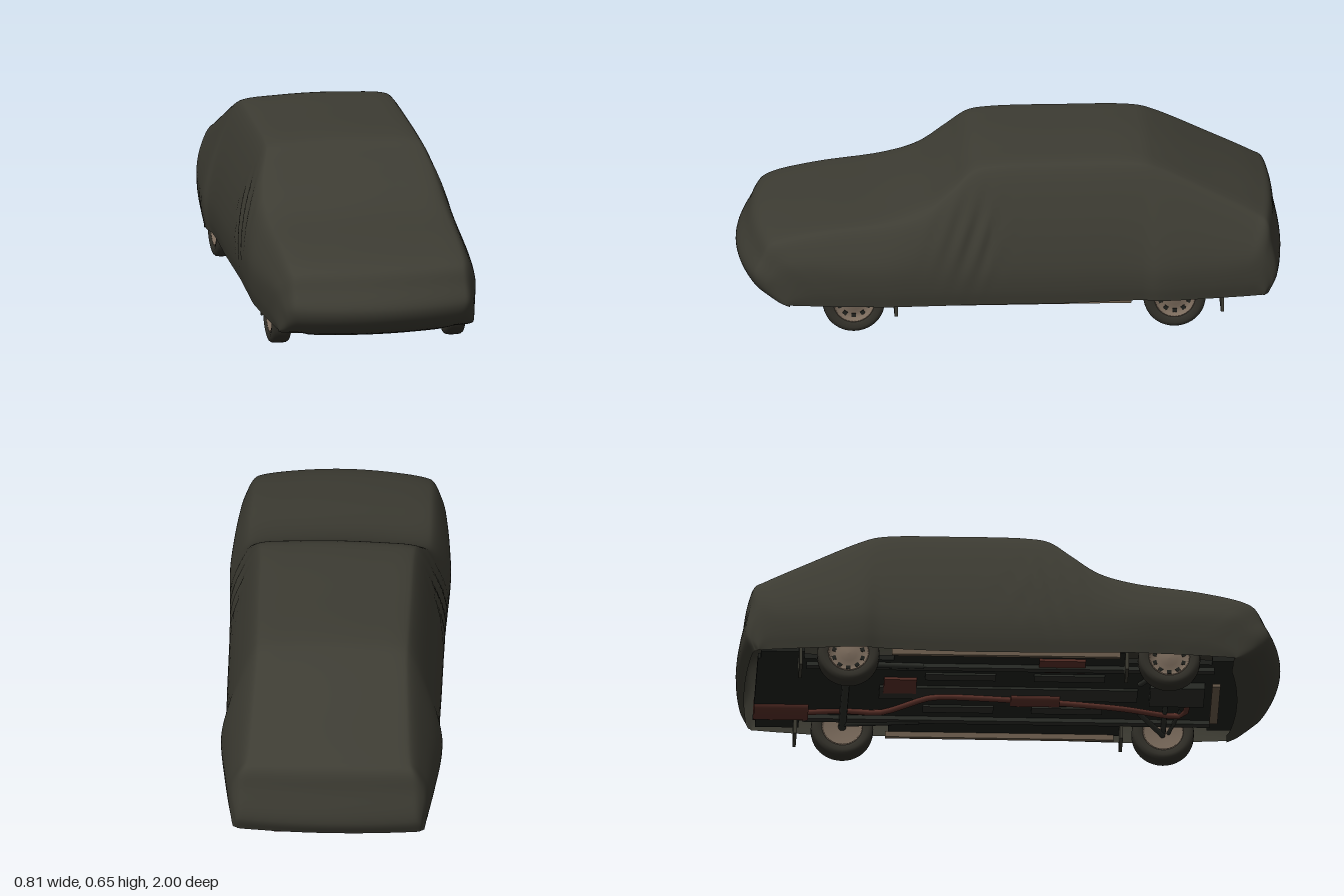
import * as THREE from 'three';

const mat = (name, color, side = THREE.FrontSide) => {
  const m = new THREE.MeshStandardMaterial({ color, side });
  m.name = name;
  return m;
};
const V = (x, y, z) => new THREE.Vector3(x, y, z);
const clamp01 = t => Math.min(1, Math.max(0, t));
const spline = pts => new THREE.CatmullRomCurve3(pts, false, 'centripetal');

// Widest half width of the cover at a given z
const WIDTHS = [[0.88, 0.367], [0.74, 0.383], [0.62, 0.395], [0.44, 0.405], [0.13, 0.394],
  [-0.47, 0.392], [-0.54, 0.406], [-0.72, 0.39], [-0.86, 0.373], [-0.94, 0.36]];
const widthAt = z => {
  let k = 0;
  while (k < WIDTHS.length - 2 && z < WIDTHS[k + 1][0]) k++;
  const [[z0, w0], [z1, w1]] = [WIDTHS[k], WIDTHS[k + 1]];
  return w0 + (w1 - w0) * clamp01((z - z0) / (z1 - z0));
};

// Centre line from front hem to rear hem: z, y, half width of the top, drop to the shoulder
const CENTRE = [
  [0.84, 0.085, 0.27, -0.01], [0.93, 0.12, 0.29, -0.005], [0.985, 0.17, 0.31, 0], [1.0, 0.22, 0.32, 0],
  [0.965, 0.29, 0.32, 0.01], [0.932, 0.345, 0.32, 0.015], [0.88, 0.37, 0.325, 0.018], [0.7, 0.405, 0.33, 0.02],
  [0.45, 0.44, 0.335, 0.025], [0.32, 0.49, 0.335, 0.04], [0.22, 0.56, 0.315, 0.03], [0.14, 0.622, 0.29, 0.025],
  [0.07, 0.638, 0.284, 0.026], [-0.2, 0.645, 0.281, 0.028], [-0.48, 0.639, 0.278, 0.027], [-0.55, 0.617, 0.278, 0.025],
  [-0.75, 0.522, 0.288, 0.024], [-0.92, 0.438, 0.3, 0.023], [-0.962, 0.408, 0.31, 0.02], [-0.98, 0.32, 0.318, 0.01],
  [-1.0, 0.19, 0.322, 0], [-0.97, 0.125, 0.322, 0.003],
];

// One band of cloth across the car, hanging from the centre line to both hems
function bandCurve([z, y, w, drop], j) {
  const bow = z > 0 ? 0.058 * clamp01((z - 0.5) / 0.5) ** 2 : -0.025 * clamp01((-z - 0.5) / 0.5) ** 2;
  const zs = z - bow, ys = y - drop;
  // Hems of the end bands bunch together at the corners
  let zh = zs;
  if (j < 8) zh = 0.82 - 0.38 * (j / 8) ** 2;
  if (j > 15) zh = -0.925 + 0.205 * ((21 - j) / 5) ** 2;
  const zm = zh + 0.6 * (zs - zh);
  const ym = Math.min(0.26, 0.115 + (ys - 0.115) * 0.65);
  const top = u => V(u * w, y - drop * 0.6 * u * u, z - bow * 0.9 * u * u);
  const shoulder = V(w + 0.005, ys, zs);
  const flank = V(widthAt(zm) - (0.26 - ym) * 0.15, ym, zm);
  const hem = V(widthAt(zh) - 0.012, z < -0.4 ? 0.12 : 0.112, zh);
  const belly = 0.004 + 0.014 * clamp01((ys - ym) / 0.35);
  const half = [top(0.5), top(0.92), shoulder, shoulder.clone().lerp(flank, 0.5).add(V(belly, 0, 0)),
    flank, flank.clone().lerp(hem, 0.6).add(V(0.006, 0, 0)), hem];
  const mirrored = half.map(p => V(-p.x, p.y, p.z)).reverse();
  return spline([...mirrored, top(0), ...half]);
}

function coverGeometry() {
  const ACROSS = 72, ALONG = 126, n = ALONG + 1;
  const ribs = CENTRE.map((c, j) => bandCurve(c, j).getPoints(ACROSS));
  const pos = [], index = [];
  for (let i = 0; i <= ACROSS; i++) {
    for (const p of spline(ribs.map(r => r[i])).getPoints(ALONG)) {
      // Soft folds hanging below the windscreen pillars
      const side = clamp01((Math.abs(p.x) - 0.3) / 0.05);
      const fold = Math.exp(-(((p.z - 0.13) / 0.13) ** 2) - ((p.y - 0.38) / 0.13) ** 2);
      p.x += Math.sign(p.x) * side * fold * 0.005 * Math.sin((p.z + p.y * 0.35) * 85);
      pos.push(p.x, p.y, p.z);
    }
  }
  for (let i = 0; i < ACROSS; i++) for (let j = 0; j < ALONG; j++) {
    const a = i * n + j, b = a + n;
    index.push(a, b, a + 1, b, b + 1, a + 1);
  }
  const geo = new THREE.BufferGeometry();
  geo.setAttribute('position', new THREE.Float32BufferAttribute(pos, 3));
  geo.setIndex(index);
  geo.computeVertexNormals();
  return geo;
}

export function createModel() {
  const car = new THREE.Group();
  car.name = 'coveredCar';
  const cloth = mat('cover cloth', 0x3d3c33, THREE.DoubleSide);
  const rubber = mat('tyre rubber', 0x33312a);
  const alloy = mat('wheel alloy', 0x7b6b5c);
  const under = mat('underbody', 0x20221e);
  const steel = mat('chassis steel', 0x2d2f2a);
  const rust = mat('exhaust', 0x5c3129);
  const tan = mat('sill', 0x6e5f4e);

  const add = (parent, name, geo, material, x = 0, y = 0, z = 0) => {
    const m = new THREE.Mesh(geo, material);
    m.name = name;
    m.position.set(x, y, z);
    parent.add(m);
    return m;
  };
  const box = (name, material, sx, sy, sz, x, y, z, parent = car) =>
    add(parent, name, new THREE.BoxGeometry(sx, sy, sz), material, x, y, z);
  const pipe = (name, material, pts, r) =>
    add(car, name, new THREE.TubeGeometry(spline(pts.map(p => V(...p))), 40, r, 10), material);

  add(car, 'cover', coverGeometry(), cloth);

  // Wheels
  const lathe = pts => new THREE.LatheGeometry(pts.map(p => new THREE.Vector2(...p)), 40).rotateZ(-Math.PI / 2);
  const tyreGeo = lathe([[0.074, -0.03], [0.08, -0.035], [0.096, -0.0375], [0.107, -0.034], [0.113, -0.026], [0.115, -0.012],
    [0.115, 0.012], [0.113, 0.026], [0.107, 0.034], [0.096, 0.0375], [0.08, 0.035], [0.074, 0.03]]);
  const rimGeo = lathe([[0, -0.02], [0.066, -0.022], [0.07, -0.031], [0.076, -0.031], [0.076, 0.031], [0.07, 0.031],
    [0.065, 0.016], [0.045, 0.012], [0.03, 0.02], [0, 0.022]]);
  for (const [end, z] of [['front', 0.58], ['rear', -0.6]]) for (const s of [1, -1]) {
    const wheel = new THREE.Group();
    wheel.name = end + 'Wheel';
    wheel.position.set(s * 0.325, 0.115, z);
    wheel.rotation.y = s > 0 ? 0 : Math.PI;
    add(wheel, 'tyre', tyreGeo, rubber);
    add(wheel, 'rim', rimGeo, alloy);
    for (let k = 0; k < 10; k++) {
      const a = k * Math.PI / 5;
      const slot = box('rimSlot', under, 0.004, 0.014, 0.016, 0.0145, Math.cos(a) * 0.055, Math.sin(a) * 0.055, wheel);
      slot.rotation.x = a;
    }
    car.add(wheel);
  }

  // Floor pan, leaving space for the wheels
  box('floorPan', under, 0.54, 0.02, 1.78, 0, 0.135, -0.04);
  box('sideFloor', under, 0.72, 0.02, 0.86, 0, 0.135, 0);
  box('tailFloor', under, 0.66, 0.02, 0.16, 0, 0.135, -0.84);
  box('noseFloor', under, 0.6, 0.02, 0.12, 0, 0.135, 0.8);
  box('tunnel', steel, 0.1, 0.012, 0.95, 0, 0.122, 0);
  box('engineSump', steel, 0.16, 0.03, 0.2, -0.03, 0.115, 0.62);
  box('frontCrossmember', tan, 0.32, 0.012, 0.03, 0, 0.092, 0.76);
  for (const s of [1, -1]) {
    box('sill', tan, 0.016, 0.022, 0.84, s * 0.36, 0.115, -0.02);
    box('chassisRail', steel, 0.03, 0.018, 1.5, s * 0.23, 0.118, 0);
    for (const z of [0.22, -0.18]) box('floorRib', steel, 0.05, 0.01, 0.26, s * 0.14, 0.122, z);
    // Mud flaps behind the wheels
    box('frontMudFlap', cloth, 0.12, 0.07, 0.012, s * 0.3, 0.095, 0.425);
    box('rearMudFlap', cloth, 0.12, 0.075, 0.012, s * 0.3, 0.0975, -0.775);
    // Suspension arms
    pipe('frontArm', steel, [[s * 0.12, 0.11, 0.48], [s * 0.3, 0.1, 0.58]], 0.01);
    pipe('steeringArm', steel, [[s * 0.1, 0.115, 0.64], [s * 0.3, 0.11, 0.6]], 0.007);
    pipe('trailingArm', steel, [[s * 0.24, 0.115, -0.32], [s * 0.26, 0.11, -0.6]], 0.011);
  }
  pipe('rearAxle', steel, [[-0.3, 0.115, -0.6], [0.3, 0.115, -0.6]], 0.015);
  pipe('frontAxle', steel, [[-0.3, 0.112, 0.58], [0.3, 0.112, 0.58]], 0.01);
  box('frontHeatShield', rust, 0.1, 0.01, 0.17, -0.25, 0.12, 0.19);
  box('rearHeatShield', rust, 0.12, 0.01, 0.12, -0.06, 0.12, -0.4);

  // Exhaust
  pipe('exhaustPipe', rust, [[-0.06, 0.12, 0.66], [0.13, 0.108, 0.65], [0.14, 0.105, 0.62], [0.08, 0.105, 0.41],
    [0.04, 0.108, 0.12], [0.01, 0.108, -0.25], [0.02, 0.108, -0.29], [0.14, 0.108, -0.44], [0.16, 0.11, -0.48],
    [0.17, 0.12, -0.6], [0.185, 0.115, -0.8]], 0.011);
  const muffler = (name, r, len, x, y, z) =>
    add(car, name, new THREE.CylinderGeometry(r, r, len, 24).rotateX(Math.PI / 2).scale(1.4, 0.8, 1), rust, x, y, z);
  muffler('middleMuffler', 0.025, 0.18, 0.04, 0.113, 0.1);
  muffler('rearMuffler', 0.04, 0.2, 0.185, 0.128, -0.83);
  return car;
}
